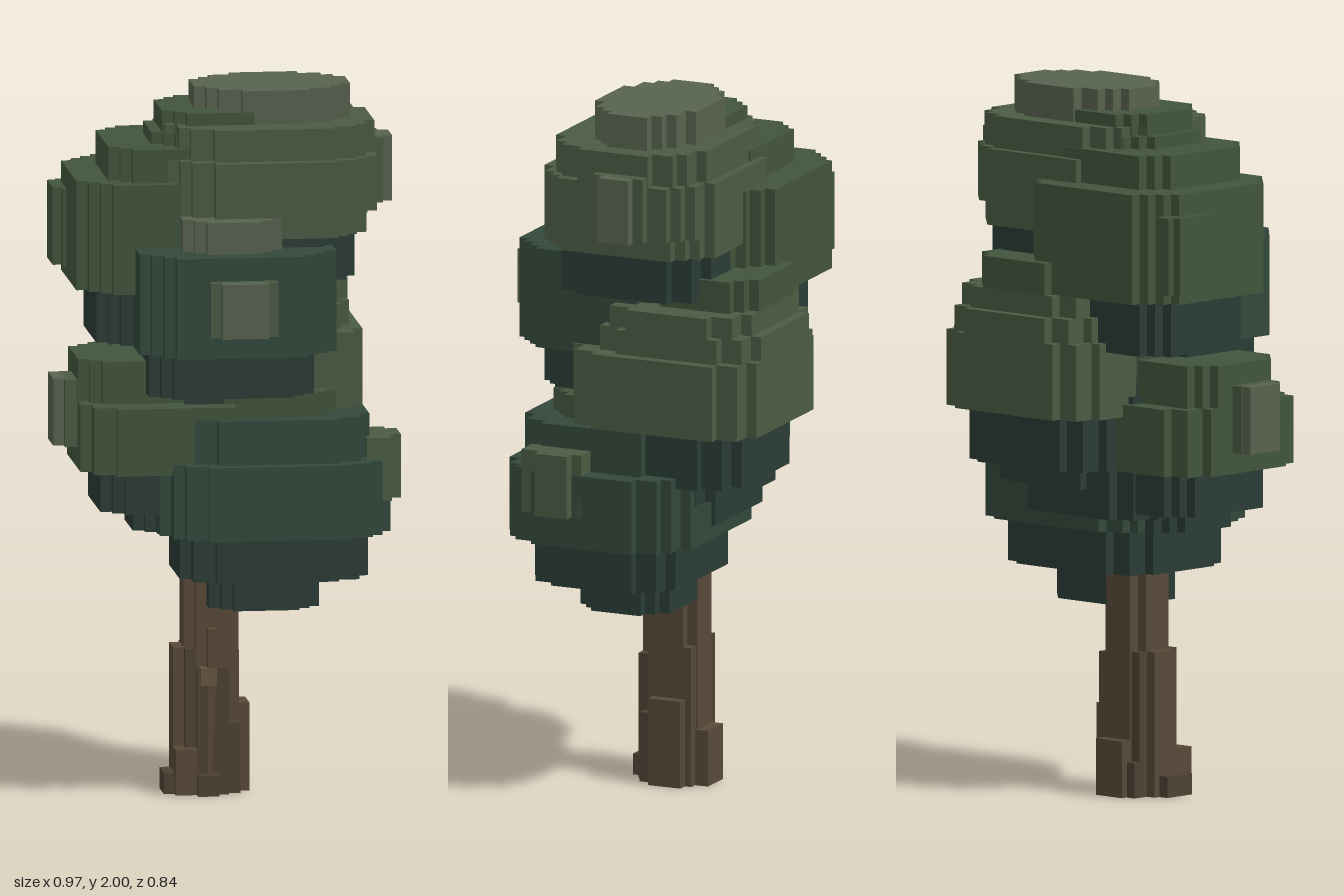
import * as THREE from 'three';

const U = 0.031; // voxel size
const mat = (c) => new THREE.MeshStandardMaterial({ color: c, flatShading: true });
const DEEP = mat(0x2a3c36), DARK = mat(0x33483b), MID = mat(0x42553c), OLIVE = mat(0x4b5b43), PALE = mat(0x58634f);
const BARK = mat(0x574938), BARK_DARK = mat(0x4e4133), KNOT = mat(0x655640);

// Flat slab whose rounded outline is stepped into voxel rows
function slab(name, material, [x0, x1], [y0, y1], [z0, z1], p = 3.5) {
  const rows = Math.max(3, Math.round((z1 - z0) / U)), d = (z1 - z0) / rows;
  const cx = (x0 + x1) / 2, a = (x1 - x0) / 2;
  const right = [], left = [];
  for (let i = 0; i < rows; i++) {
    const t = Math.abs((2 * (i + 0.5)) / rows - 1);
    const inset = Math.round((a * (1 - Math.pow(1 - t ** p, 1 / p))) / U) * U;
    const w = Math.max(a - inset, U);
    for (const z of [z0 + i * d, z0 + (i + 1) * d]) {
      right.push(new THREE.Vector2(cx + w, -z));
      left.unshift(new THREE.Vector2(cx - w, -z));
    }
  }
  // drop repeated and collinear corners
  const pts = [...right, ...left];
  const outline = pts.filter((q, i) => {
    const b = pts[(i + pts.length - 1) % pts.length], n = pts[(i + 1) % pts.length];
    return Math.abs((q.x - b.x) * (n.y - q.y) - (q.y - b.y) * (n.x - q.x)) > 1e-9;
  });
  const g = new THREE.ExtrudeGeometry(new THREE.Shape(outline), { depth: y1 - y0, bevelEnabled: false });
  g.rotateX(-Math.PI / 2);
  g.translate(0, y0, 0);
  const m = new THREE.Mesh(g, material);
  m.name = name;
  return m;
}

function box(name, material, [x0, x1], [y0, y1], [z0, z1]) {
  const m = new THREE.Mesh(new THREE.BoxGeometry(x1 - x0, y1 - y0, z1 - z0), material);
  m.position.set((x0 + x1) / 2, (y0 + y1) / 2, (z0 + z1) / 2);
  m.name = name;
  return m;
}

// One foliage clump: stacked slabs plus stepped side tufts
function clump(name, layers, tufts = []) {
  const g = new THREE.Group();
  g.name = name;
  layers.forEach(([m, x, y, z, p], i) => g.add(slab(`${name}Layer${i + 1}`, m, x, y, z, p)));
  tufts.forEach(([m, x, y, z]) => g.add(box(`${name}Tuft`, m, x, y, z)));
  return g;
}

export function createModel() {
  const tree = new THREE.Group();
  tree.name = 'tree';

  // Trunk with bark ridges and root flares
  const trunk = new THREE.Group();
  trunk.name = 'trunk';
  trunk.add(slab('trunkCore', BARK, [-0.11, 0.045], [0, 0.75], [-0.105, 0.05], 2.6));
  const ridges = [
    [[-0.14, -0.1], 0.41, [-0.07, 0.02]], [[-0.17, -0.13], 0.06, [-0.05, 0.05]],
    [[0.03, 0.075], 0.25, [-0.08, 0.02]], [[-0.08, 0.01], 0.36, [0.04, 0.08]],
    [[-0.05, -0.02], 0.47, [0.04, 0.08]], [[-0.08, -0.02], 0.06, [0.07, 0.11]],
    [[-0.08, 0.02], 0.16, [-0.14, -0.1]], [[0.0, 0.045], 0.2, [0.02, 0.06]],
    [[-0.14, -0.08], 0.13, [0.0, 0.08]], [[-0.11, -0.08], 0.41, [-0.1, 0.05]],
    [[0.01, 0.045], 0.4, [-0.1, 0.02]], [[-0.11, -0.05], 0.1, [-0.12, -0.06]],
  ];
  ridges.forEach(([x, h, z], i) => trunk.add(box('barkRidge', i % 2 ? BARK_DARK : BARK, x, [0, h], z)));
  trunk.add(box('knot', KNOT, [-0.07, -0.025], [0.31, 0.36], [0.05, 0.083]));
  tree.add(trunk);

  // Hidden heart joining the clumps
  tree.add(clump('innerFoliage', [
    [DEEP, [-0.22, 0.28], [0.8, 1.15], [-0.24, 0.2]],
    [DEEP, [-0.17, 0.25], [1.1, 1.65], [-0.24, 0.16]],
  ]));

  tree.add(clump('lowerFrontClump', [
    [DEEP, [-0.05, 0.26], [0.535, 0.63], [-0.105, 0.17], 2.8],
    [DEEP, [-0.14, 0.39], [0.63, 0.76], [-0.17, 0.265]],
    [DARK, [-0.2, 0.45], [0.76, 0.97], [-0.23, 0.33]],
    [DARK, [-0.14, 0.39], [0.97, 1.095], [-0.2, 0.295]],
    [MID, [-0.05, 0.3], [1.095, 1.16], [-0.14, 0.235], 2.8],
  ], [
    [OLIVE, [0.38, 0.45], [0.85, 1.03], [0.05, 0.235]],
    [OLIVE, [0.44, 0.482], [0.85, 1.03], [0.08, 0.18]],
  ]));

  tree.add(clump('lowerLeftClump', [
    [DEEP, [-0.265, 0.05], [0.76, 0.82], [-0.14, 0.17], 2.8],
    [DEEP, [-0.36, 0.08], [0.82, 0.94], [-0.2, 0.2]],
    [MID, [-0.42, 0.1], [0.94, 1.13], [-0.23, 0.262]],
    [MID, [-0.42, 0.08], [1.13, 1.25], [-0.17, 0.17]],
  ], [
    [OLIVE, [-0.455, -0.4], [1.0, 1.19], [-0.05, 0.105]],
    [PALE, [-0.485, -0.45], [1.0, 1.19], [-0.045, 0.075]],
  ]));

  tree.add(clump('middleBackClump', [
    [DEEP, [-0.1, 0.3], [0.88, 0.94], [-0.265, 0.02]],
    [DEEP, [-0.14, 0.36], [0.94, 1.095], [-0.36, 0.08]],
    [OLIVE, [-0.17, 0.39], [1.095, 1.31], [-0.42, 0.145], 4],
    [OLIVE, [-0.14, 0.36], [1.31, 1.38], [-0.42, 0.08]],
    [OLIVE, [-0.14, 0.36], [1.38, 1.44], [-0.39, 0.05]],
    [MID, [-0.08, 0.28], [1.44, 1.53], [-0.39, -0.05]],
  ]));

  tree.add(clump('middleFrontClump', [
    [DEEP, [-0.235, 0.23], [1.16, 1.285], [-0.1, 0.295]],
    [DARK, [-0.265, 0.29], [1.285, 1.57], [-0.14, 0.36]],
    [PALE, [-0.14, 0.14], [1.57, 1.66], [0, 0.295], 2.8],
  ], [
    [OLIVE, [-0.08, 0.11], [1.35, 1.505], [0.34, 0.39]],
    [PALE, [-0.05, 0.08], [1.35, 1.505], [0.385, 0.42]],
  ]));

  tree.add(clump('upperLeftClump', [
    [DEEP, [-0.36, 0.1], [1.285, 1.44], [-0.3, 0.11]],
    [MID, [-0.42, 0.14], [1.44, 1.75], [-0.36, 0.17]],
    [MID, [-0.33, 0.08], [1.75, 1.845], [-0.27, 0.14]],
    [MID, [-0.205, 0.05], [1.845, 1.88], [-0.2, 0.11], 2.8],
    [MID, [-0.175, 0.14], [1.88, 1.94], [-0.2, 0.11], 2.8],
  ], [
    [MID, [-0.455, -0.4], [1.47, 1.69], [-0.3, -0.175]],
    [MID, [-0.43, -0.38], [1.47, 1.69], [-0.32, -0.14]],
  ]));

  tree.add(clump('crownClump', [
    [DEEP, [-0.08, 0.36], [1.47, 1.6], [-0.265, 0.2]],
    [OLIVE, [-0.14, 0.39], [1.6, 1.66], [-0.29, 0.235]],
    [OLIVE, [-0.17, 0.42], [1.66, 1.815], [-0.29, 0.235]],
    [OLIVE, [-0.17, 0.42], [1.815, 1.905], [-0.265, 0.2], 3],
    [PALE, [-0.08, 0.36], [1.905, 2.0], [-0.205, 0.108], 2.2],
  ], [
    [OLIVE, [0.38, 0.452], [1.66, 1.845], [-0.14, 0.015]],
    [PALE, [0.44, 0.482], [1.66, 1.845], [-0.11, -0.015]],
  ]));

  return tree;
}
